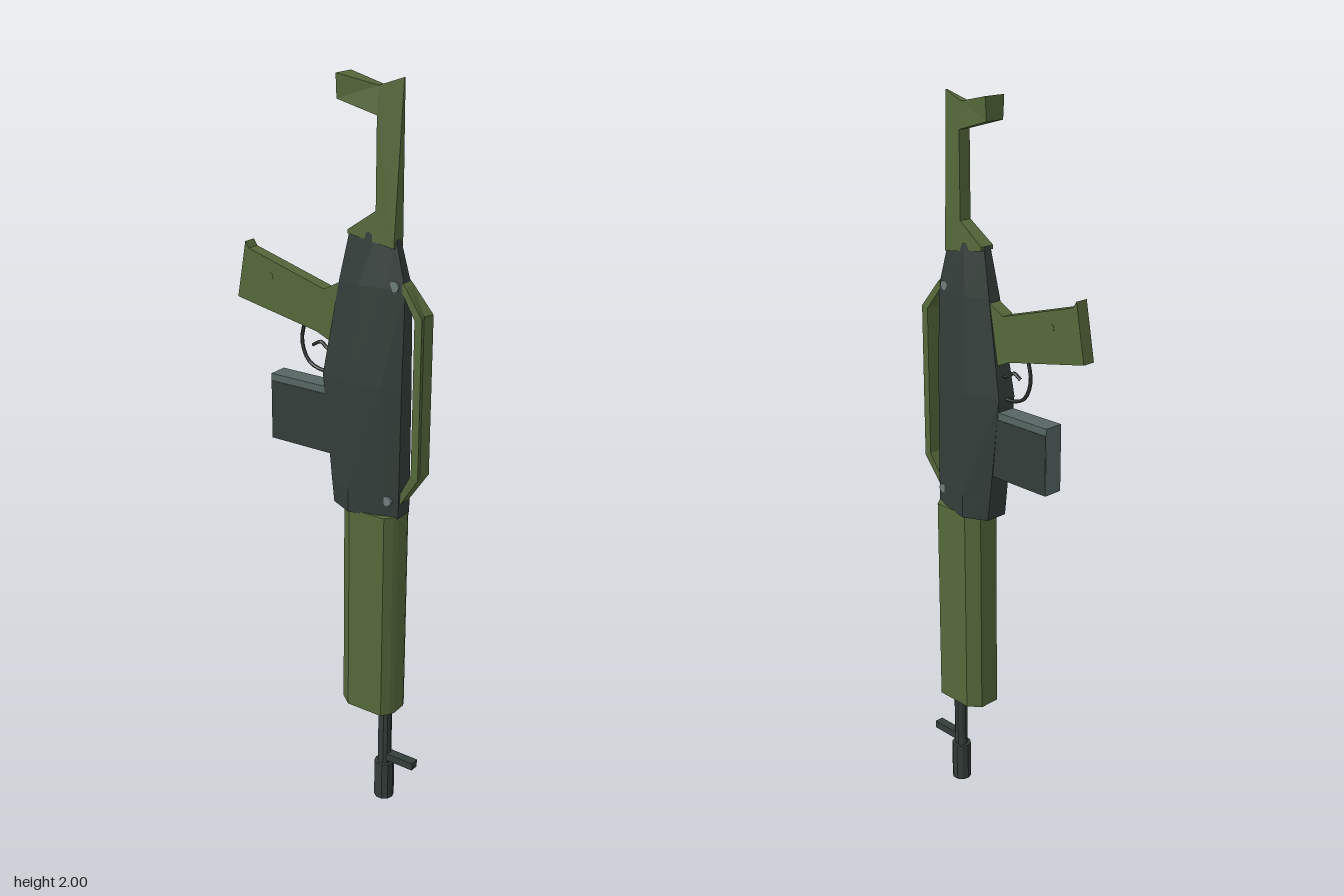
import * as THREE from 'three';

const mat = (name, color) => {
  const m = new THREE.MeshStandardMaterial({ color, flatShading: true });
  m.name = name;
  return m;
};

export function createModel() {
  const group = new THREE.Group();
  const olive = mat('olive', 0x55683a);
  const dark = mat('dark steel', 0x333d39);
  const grey = mat('grey steel', 0x566663);
  const pale = mat('pale steel', 0x6f7d7a);

  const add = (name, geo, material, x = 0, y = 0, z = 0) => {
    const mesh = new THREE.Mesh(geo, material);
    mesh.name = name;
    mesh.position.set(x, y, z);
    group.add(mesh);
    return mesh;
  };

  // Side silhouette given as [z, y], widened along x; half(z, y) is the half width
  const slab = (points, half, steps = 1) => {
    const shape = new THREE.Shape(points.map(([z, y]) => new THREE.Vector2(z, y)));
    const geo = new THREE.ExtrudeGeometry(shape, { depth: 2, steps, bevelEnabled: false });
    geo.translate(0, 0, -1).rotateY(-Math.PI / 2);
    const p = geo.attributes.position;
    for (let i = 0; i < p.count; i++) p.setX(i, p.getX(i) * half(p.getZ(i), p.getY(i)));
    geo.computeVertexNormals();
    return geo;
  };

  // Mirrored cross-sections joined upwards; each is { y, half: [[x, z] front to back] }
  const loft = (sections) => {
    const rings = sections.map(({ y, half }) => [
      ...half.map(([x, z]) => [x, y, z]),
      ...half.slice().reverse().map(([x, z]) => [-x, y, z]),
    ]);
    const out = [];
    const n = rings[0].length;
    for (let r = 0; r + 1 < rings.length; r++) {
      for (let i = 0; i < n; i++) {
        const j = (i + 1) % n, a = rings[r], b = rings[r + 1];
        out.push(...a[i], ...a[j], ...b[j], ...a[i], ...b[j], ...b[i]);
      }
    }
    const bottom = rings[0], top = rings[rings.length - 1];
    for (let i = 1; i + 1 < n; i++) {
      out.push(...bottom[0], ...bottom[i + 1], ...bottom[i]);
      out.push(...top[0], ...top[i], ...top[i + 1]);
    }
    const geo = new THREE.BufferGeometry();
    geo.setAttribute('position', new THREE.Float32BufferAttribute(out, 3));
    geo.computeVertexNormals();
    return geo;
  };

  // Muzzle, barrel and front sight
  add('muzzle', new THREE.CylinderGeometry(0.028, 0.028, 0.115, 10), dark, 0, 0.0575, 0.187);
  add('barrel', new THREE.CylinderGeometry(0.019, 0.019, 0.24, 10), dark, 0, 0.215, 0.187);
  add('frontSight', new THREE.BoxGeometry(0.026, 0.022, 0.09), dark, 0, 0.137, 0.241);

  // Handguard with chamfered corners
  const guardHalf = [[0.022, 0.23], [0.036, 0.224], [0.057, 0.208], [0.057, 0.1], [0.03, 0.066]];
  add('handguard', loft([0.3, 0.9].map((y) => ({ y, half: guardHalf }))), olive);

  // Receiver: y, half width, front z, widest z, back z
  const levels = [
    [0.895, 0.064, 0.232, 0.1, 0.035],
    [0.96, 0.063, 0.232, 0.1, 0.027],
    [1.245, 0.056, 0.232, 0.1, -0.004],
    [1.5, 0.038, 0.232, 0.11, 0.04],
    [1.63, 0.022, 0.198, 0.13, 0.066],
  ];
  add('receiver', loft(levels.map(([y, w, front, wide, back]) => ({
    y,
    half: [[w * 0.42, front], [w * 0.74, front - 0.05], [w, wide], [w * 0.5, back]],
  }))), dark);

  // Stock column with its flared butt
  add('stock', slab([
    [0.2, 1.6], [0.066, 1.62], [0.066, 1.63], [0.145, 1.685], [0.145, 1.91], [0.108, 1.92],
    [0.037, 1.94], [0.037, 2], [0.145, 1.978], [0.209, 2],
  ], (z, y) => {
    if (y > 1.97) return Math.max(0.002, 0.032 * (0.207 - z) / 0.17);
    if (z < 0.05) return 0.028;
    return y < 1.64 ? 0.021 : 0.018;
  }), olive);

  // Carrying handle with a shallow groove along its front
  const handle = slab([
    [0.225, 1.52], [0.235, 1.51], [0.288, 1.44], [0.288, 1.016], [0.235, 0.935], [0.225, 0.925],
    [0.225, 0.95], [0.267, 1.025], [0.267, 1.435], [0.225, 1.495],
  ], (z) => (z > 0.26 ? 0.027 : 0.019), 2);
  const hp = handle.attributes.position;
  for (let i = 0; i < hp.count; i++) {
    if (Math.abs(hp.getX(i)) < 0.001 && hp.getZ(i) > 0.28) hp.setZ(i, 0.278);
  }
  handle.computeVertexNormals();
  add('carryHandle', handle, olive);

  // Pistol grip
  add('grip', slab([
    [0.045, 1.495], [-0.008, 1.466], [-0.246, 1.535], [-0.257, 1.552], [-0.285, 1.4],
    [-0.03, 1.35], [0.015, 1.33],
  ], () => 0.018), olive);

  // Magazine with darker side panels
  add('magazine', new THREE.BoxGeometry(0.054, 0.183, 0.212), grey, 0, 1.1185, -0.066);
  for (const s of [-1, 1]) {
    add('magazinePanel', new THREE.BoxGeometry(0.003, 0.163, 0.21), dark, s * 0.027, 1.109, -0.066);
  }

  // Trigger and its guard
  const rod = (points, radius) => new THREE.TubeGeometry(
    new THREE.CatmullRomCurve3(points.map(([z, y]) => new THREE.Vector3(0, y, z))), 12, radius, 6);
  add('triggerGuard', rod(
    [[-0.078, 1.375], [-0.09, 1.31], [-0.07, 1.26], [-0.035, 1.243], [0.02, 1.243]], 0.005), dark);
  add('trigger', rod([[0.02, 1.297], [-0.01, 1.305], [-0.03, 1.318], [-0.055, 1.305]], 0.005), dark);

  // Screws on both sides: z, y, radius, half width
  for (const [z, y, r, w] of [[0.204, 1.508, 0.014, 0.024], [0.204, 0.942, 0.014, 0.041],
    [-0.177, 1.472, 0.009, 0.019]]) {
    const pin = add('screw', new THREE.CylinderGeometry(r, r, w * 2, 8), r > 0.01 ? pale : olive, 0, y, z);
    pin.rotation.z = Math.PI / 2;
  }

  return group;
}
